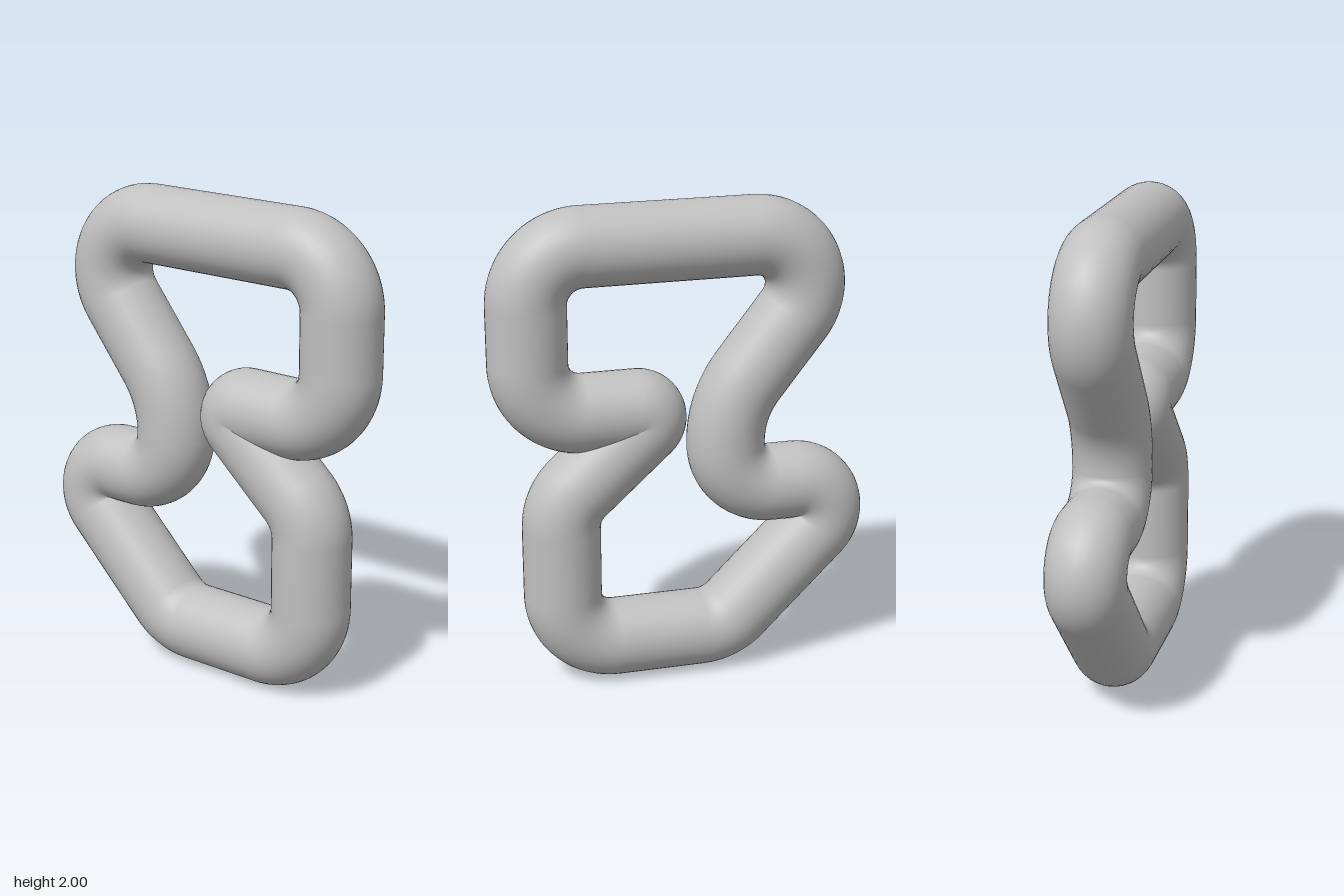
import * as THREE from 'three';

const TUBE_RADIUS = 0.16;
const SIDES = 40;

// Corners of the loop's centre line: x, y, bend radius
const corners = [
  [-0.735, 1.84, 0.21],
  [0.62, 1.84, 0.22],
  [0.62, 1.16, 0.22],
  [0.077, 1.16, 0.04],
  [0.5, 0.776, 0.22],
  [0.5, 0.16, 0.22],
  [-0.174, 0.16, 0.22],
  [-0.799, 0.785, 0.13],
  [-0.19, 0.785, 0.19],
  [-0.19, 1.14, 0.44],
];

// Round every corner with an arc; returns points with their heading angle
function roundedPath() {
  const path = [];
  const count = corners.length;
  corners.forEach(([x, y, r], i) => {
    const prev = corners[(i + count - 1) % count];
    const next = corners[(i + 1) % count];
    const start = Math.atan2(y - prev[1], x - prev[0]);
    const end = Math.atan2(next[1] - y, next[0] - x);
    const turn = Math.atan2(Math.sin(end - start), Math.cos(end - start));
    const cut = r * Math.tan(Math.abs(turn) / 2);
    const side = r * Math.sign(turn);
    const cx = x - cut * Math.cos(start) - side * Math.sin(start);
    const cy = y - cut * Math.sin(start) + side * Math.cos(start);
    const steps = Math.ceil(Math.abs(turn) / 0.08);
    for (let k = 0; k <= steps; k++) {
      const heading = start + (turn * k) / steps;
      path.push({
        x: cx + side * Math.sin(heading),
        y: cy - side * Math.cos(heading),
        heading,
      });
    }
  });
  return path;
}

// Sweep a circle around the closed path
function sweepLoop(path) {
  const positions = [], normals = [], index = [];
  path.forEach(({ x, y, heading }, i) => {
    const nextRing = (i + 1) % path.length;
    for (let j = 0; j < SIDES; j++) {
      const a = (j / SIDES) * Math.PI * 2;
      const nx = Math.cos(a) * Math.sin(heading);
      const ny = -Math.cos(a) * Math.cos(heading);
      const nz = Math.sin(a);
      positions.push(x + TUBE_RADIUS * nx, y + TUBE_RADIUS * ny, TUBE_RADIUS * nz);
      normals.push(nx, ny, nz);
      const nextSide = (j + 1) % SIDES;
      const p = i * SIDES + j, q = nextRing * SIDES + j;
      const s = i * SIDES + nextSide, t = nextRing * SIDES + nextSide;
      index.push(p, q, s, q, t, s);
    }
  });
  const geometry = new THREE.BufferGeometry();
  geometry.setAttribute('position', new THREE.Float32BufferAttribute(positions, 3));
  geometry.setAttribute('normal', new THREE.Float32BufferAttribute(normals, 3));
  geometry.setIndex(index);
  return geometry;
}

export function createModel() {
  const group = new THREE.Group();
  group.name = 'bentTubeLoop';
  const grey = new THREE.MeshStandardMaterial({ color: 0xc0c0c0 });
  grey.name = 'lightGrey';

  const tube = new THREE.Mesh(sweepLoop(roundedPath()), grey);
  tube.name = 'tube';
  group.add(tube);
  return group;
}
